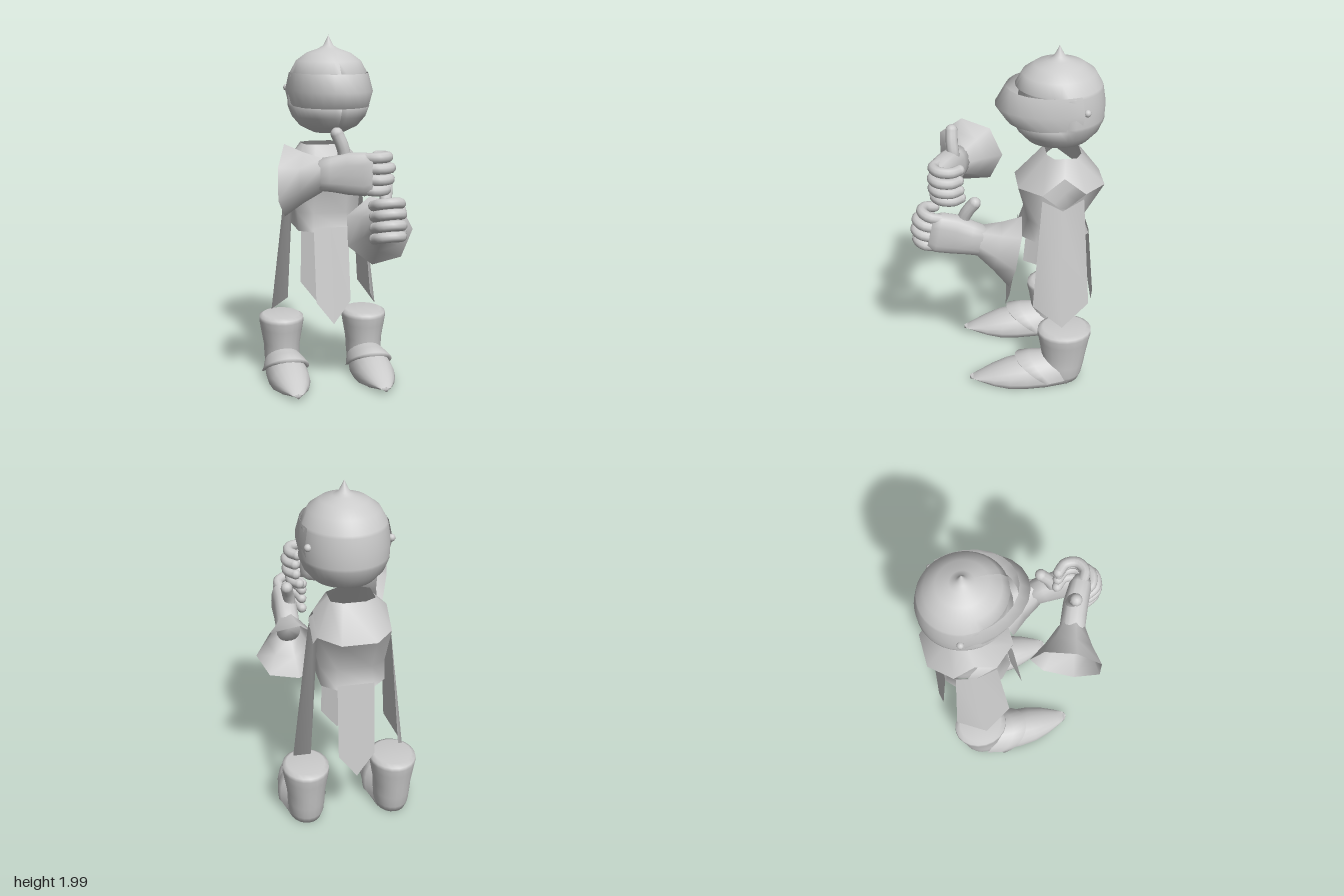
import * as THREE from 'three';

const mat = new THREE.MeshStandardMaterial({ color: 0xcccccc, side: THREE.DoubleSide });
const V = (x, y, z) => new THREE.Vector3(x, y, z);

function add(parent, name, geometry) {
  const mesh = new THREE.Mesh(geometry, mat);
  mesh.name = name;
  parent.add(mesh);
  return mesh;
}

function subgroup(parent, name) {
  const g = new THREE.Group();
  g.name = name;
  parent.add(g);
  return g;
}

// Skin over rows of points; wrap joins each row into a ring, caps close the ends
function loft(rows, { wrap = true, capStart = false, capEnd = false } = {}) {
  const n = rows[0].length, pos = [], idx = [];
  rows.forEach(r => r.forEach(p => pos.push(p.x, p.y, p.z)));
  for (let i = 0; i < rows.length - 1; i++) {
    for (let j = 0; j < (wrap ? n : n - 1); j++) {
      const a = i * n + j, b = i * n + (j + 1) % n;
      idx.push(a, b, a + n, b, b + n, a + n);
    }
  }
  const cap = (r, flip) => {
    const c = rows[r].reduce((s, p) => s.add(p), V(0, 0, 0)).divideScalar(n);
    const k = pos.length / 3;
    pos.push(c.x, c.y, c.z);
    for (let j = 0; j < n; j++) {
      const a = r * n + j, b = r * n + (j + 1) % n;
      flip ? idx.push(k, b, a) : idx.push(k, a, b);
    }
  };
  if (capStart) cap(0, true);
  if (capEnd) cap(rows.length - 1, false);
  const g = new THREE.BufferGeometry();
  g.setAttribute('position', new THREE.Float32BufferAttribute(pos, 3));
  g.setIndex(idx);
  g.computeVertexNormals();
  return g;
}

// Rounded ring in the xy plane; power < 1 makes it squarer
function ring(n, z, cx, cy, rx, ry, power = 1) {
  const f = v => Math.sign(v) * Math.abs(v) ** power;
  return Array.from({ length: n }, (_, j) => {
    const a = j / n * Math.PI * 2;
    return V(cx + rx * f(Math.cos(a)), cy + ry * f(Math.sin(a)), z);
  });
}

// Round-ended bent finger
function finger(parent, name, points, r) {
  const g = subgroup(parent, name);
  add(g, name + 'Shaft', new THREE.TubeGeometry(new THREE.CatmullRomCurve3(points), 14, r, 10));
  for (const p of [points[0], points[points.length - 1]]) {
    add(g, name + 'End', new THREE.SphereGeometry(r, 10, 8)).position.copy(p);
  }
}

// Helmet with crest, recessed face, hinged visor
function buildHead(parent) {
  const head = subgroup(parent, 'head');
  head.position.z = -0.28;
  head.rotation.y = 0.1;
  const profile = [[0, 1.44], [0.09, 1.448], [0.165, 1.485], [0.212, 1.54], [0.235, 1.6], [0.235, 1.615],
    [0.238, 1.69], [0.225, 1.775], [0.22, 1.79], [0.185, 1.855], [0.125, 1.9], [0.06, 1.922], [0.03, 1.94],
    [0.014, 1.97], [0, 2]].map(p => new THREE.Vector2(...p));
  const shell = new THREE.LatheGeometry(profile, 40);
  const p = shell.attributes.position;
  for (let i = 0; i < p.count; i++) {
    const y = p.getY(i), z = p.getZ(i);
    const k = z > 0.03 && y > 1.61 && y < 1.78 ? 0.88 : 1;
    p.setX(i, p.getX(i) * k);
    p.setZ(i, z * k * 1.06);
  }
  shell.computeVertexNormals();
  add(head, 'helmet', shell);

  const visorRows = [[1.6, 0.225, 0.285], [1.69, 0.242, 0.345], [1.79, 0.222, 0.285]].map(([y, rx, rz]) =>
    Array.from({ length: 15 }, (_, j) => {
      const t = (j / 14 - 0.5) * 3.65;
      return V(rx * Math.sin(t), y, rz * Math.cos(t));
    }));
  add(head, 'visor', loft(visorRows, { wrap: false }));
  for (const s of [-1, 1]) {
    add(head, 'visorHinge', new THREE.SphereGeometry(0.02, 12, 8)).position.set(s * 0.222, 1.7, -0.1);
  }
}

// Open tunic with armholes and four hanging panels
function buildTunic(parent) {
  const tunic = subgroup(parent, 'tunic');
  tunic.position.x = -0.03;
  // ten-point ring: flat front, right side with a middle point, flat back, left side
  const tenRing = (y, fx, zf, zb, sx, sz, midY = y) => {
    const c = (zf + zb) / 2;
    return [V(-fx, y, zf), V(fx, y, zf), V(sx, y, c + sz), V(sx, midY, c), V(sx, y, c - sz),
      V(fx, y, zb), V(-fx, y, zb), V(-sx, y, c - sz), V(-sx, midY, c), V(-sx, y, c + sz)];
  };
  add(tunic, 'shoulders', loft([
    tenRing(1.2, 0.095, -0.06, -0.54, 0.2, 0.12, 1.3),
    tenRing(1.38, 0.06, -0.22, -0.41, 0.12, 0.06)]));
  add(tunic, 'torso', loft([
    tenRing(0.895, 0.1, -0.08, -0.46, 0.175, 0.12),
    tenRing(1.0, 0.095, -0.115, -0.42, 0.178, 0.1),
    tenRing(1.2, 0.095, -0.06, -0.54, 0.2, 0.12, 1.1)]));

  const panel = (name, rows) => add(tunic, name, loft(rows, { wrap: false }));
  for (const [name, top, low, s] of [['frontPanel', -0.08, 0, 1], ['backPanel', -0.46, -0.51, -1]]) {
    panel(name, [
      [V(-0.1 * s, 0.5, low - 0.012 * s), V(0, 0.37, low), V(0.1 * s, 0.5, low - 0.012 * s)],
      [V(-0.1 * s, 0.92, top), V(0, 0.92, top), V(0.1 * s, 0.92, top)]]);
  }
  for (const s of [-1, 1]) {
    panel('sidePanel', [
      [V(s * 0.245, 0.51, -0.29 + s * 0.16), V(s * 0.315, 0.4, -0.29), V(s * 0.245, 0.51, -0.29 - s * 0.16)],
      [V(s * 0.2, 1.17, -0.295 + s * 0.115), V(s * 0.2, 1.1, -0.295), V(s * 0.2, 1.17, -0.295 - s * 0.115)]]);
  }
}

// Gauntlet along local +z with thumb up; side sets which way the fingers curl
function buildGlove(parent, name, side) {
  const g = subgroup(parent, name);
  add(g, 'flaredCuff', loft([
    ring(7, 0, 0, 0, 0.2, 0.2), ring(7, 0.1, 0, 0.015, 0.13, 0.14), ring(7, 0.2, 0, 0.03, 0.075, 0.092)]));
  add(g, 'palm', loft([
    ring(18, 0.17, 0, 0.03, 0.068, 0.085, 0.85), ring(18, 0.25, 0, 0.035, 0.068, 0.095, 0.8),
    ring(18, 0.34, 0, 0.04, 0.068, 0.112, 0.75), ring(18, 0.43, -side * 0.01, 0.04, 0.062, 0.115, 0.7),
    ring(18, 0.475, -side * 0.015, 0.04, 0.045, 0.1, 0.75)], { capStart: true, capEnd: true }));
  [0.13, 0.072, 0.012, -0.045].forEach((y, i) => {
    const reach = [0, 0.015, 0.01, -0.01][i];
    finger(g, 'finger', [V(-side * 0.02, y * 0.95 + 0.002, 0.43), V(-side * 0.025, y, 0.5 + reach),
      V(side * 0.02, y, 0.54 + reach), V(side * 0.085, y - 0.004, 0.525 + reach),
      V(side * 0.115, y - 0.008, 0.47 + reach)], 0.029);
  });
  finger(g, 'thumb', [V(side * 0.015, 0.06, 0.29), V(side * 0.02, 0.13, 0.31),
    V(side * 0.01, 0.19, 0.3), V(0, 0.25, 0.275)], 0.034);
  return g;
}

// Boot with pointed foot and an instep flap
function buildBoot(parent, name, x) {
  const boot = subgroup(parent, name);
  boot.position.x = x;
  const shaft = [[0.01, -0.3, 0.085, 0.105], [0.05, -0.303, 0.1, 0.117], [0.12, -0.31, 0.105, 0.124],
    [0.19, -0.315, 0.108, 0.13], [0.28, -0.315, 0.124, 0.145], [0.33, -0.315, 0.132, 0.156],
    [0.352, -0.315, 0.13, 0.154], [0.365, -0.315, 0.108, 0.125]];
  add(boot, 'shaft', loft(shaft.map(([y, cz, rx, rz]) =>
    ring(20, 0, 0, 0, rz, rx).map(p => V(p.y, y, cz + p.x))), { capStart: true, capEnd: true }));
  const foot = [[-0.33, 0.09, 0.19], [-0.2, 0.115, 0.185], [-0.09, 0.12, 0.16], [0.01, 0.112, 0.135],
    [0.1, 0.086, 0.098], [0.18, 0.05, 0.06], [0.225, 0.025, 0.035], [0.235, 0.01, 0.025]];
  add(boot, 'foot', loft(foot.map(([z, w, top]) =>
    ring(18, z, 0, 0.04, w, top - 0.04).map(p => V(p.x, p.y < 0.04 ? Math.max(0.01, p.y) : p.y, z))),
  { capStart: true, capEnd: true }));
  const arch = (w, h, z0, dz) => Array.from({ length: 15 }, (_, j) => {
    const a = -0.15 + j / 14 * (Math.PI + 0.3), s = Math.sin(a);
    return V(w * Math.cos(a), 0.065 + h * s, z0 + dz * s);
  });
  add(boot, 'instepFlap', loft([arch(0.108, 0.12, -0.3, 0.06), arch(0.128, 0.118, -0.21, 0.1),
    arch(0.139, 0.108, -0.18, 0.15), arch(0.118, 0.08, -0.18, 0.14)], { wrap: false }));
}

export function createModel() {
  const model = new THREE.Group();
  model.name = 'floatingKnight';
  buildHead(model);
  buildTunic(model);

  const aim = (glove, origin, dir) => {
    glove.position.set(...origin);
    glove.lookAt(V(...origin).add(V(...dir)));
  };
  aim(buildGlove(model, 'rightGlove', 1), [-0.33, 1.25, 0.18], [0.914, 0, 0.404]);
  aim(buildGlove(model, 'leftGlove', -1), [0.235, 0.905, -0.02], [-0.06, 0.22, 0.97]);

  buildBoot(model, 'rightBoot', -0.283);
  buildBoot(model, 'leftBoot', 0.22);
  return model;
}
